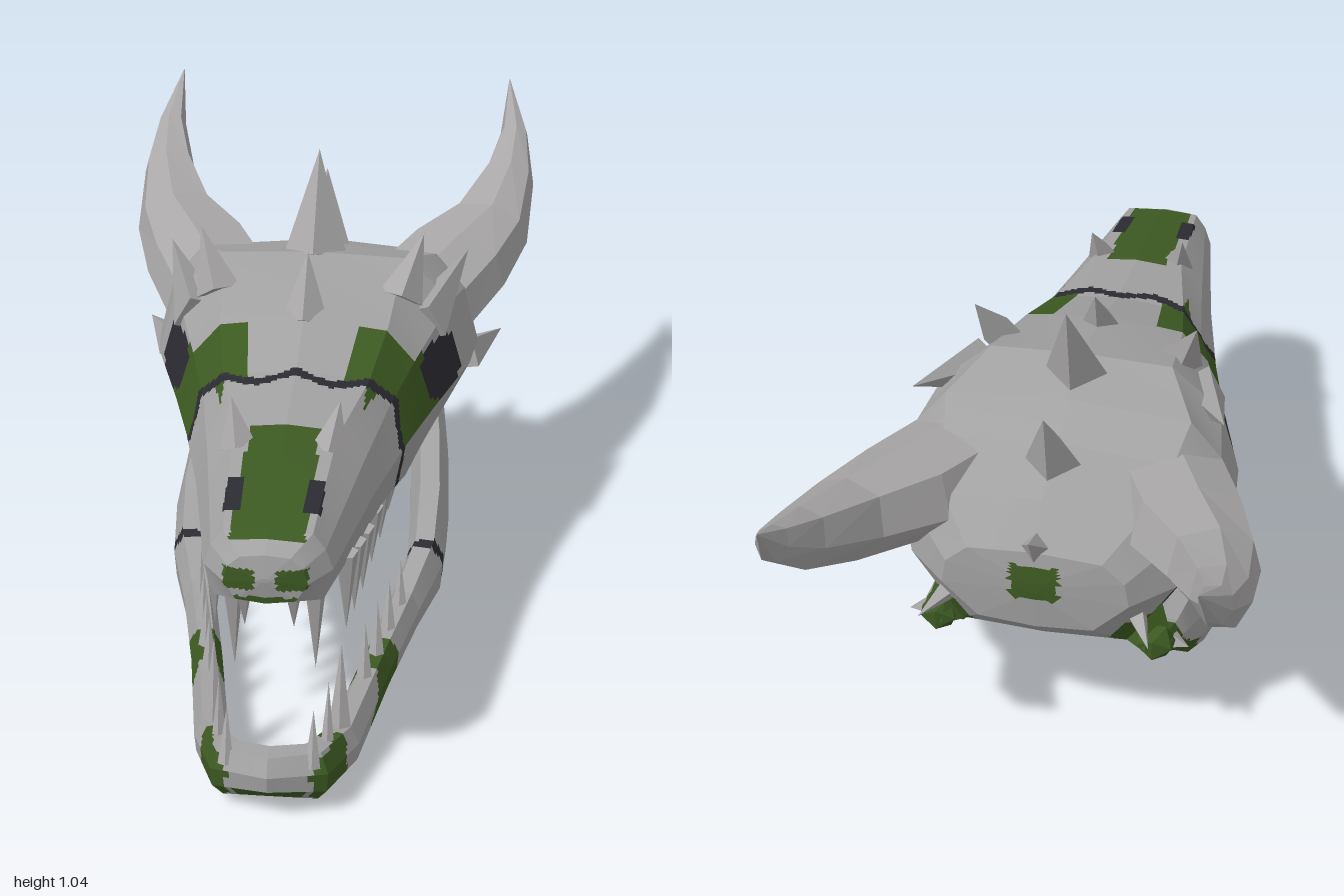
import * as THREE from 'three';

const mat = (name, color) => {
  const m = new THREE.MeshStandardMaterial({ color });
  m.name = name;
  return m;
};
const V = (x, y, z) => new THREE.Vector3(x, y, z);

// Closed loft through rings of equal length; every cell is coloured by a rule
function loft(name, rings, mats, rule = () => 0, nu = 1, step = 9) {
  const fine = ring => ring.flatMap((p, j) => {
    const q = ring[(j + 1) % ring.length];
    return Array.from({ length: nu }, (_, k) => p.clone().lerp(q, k / nu));
  });
  const rows = [];
  rings.forEach((ring, i) => {
    const a = fine(ring);
    if (i === rings.length - 1) return rows.push(a);
    const b = fine(rings[i + 1]);
    const n = Math.max(1, Math.ceil(ring[0].distanceTo(rings[i + 1][0]) / step));
    for (let k = 0; k < n; k++) rows.push(a.map((p, j) => p.clone().lerp(b[j], k / n)));
  });
  const buckets = mats.map(() => []);
  const cell = (a, b, c, d) => {
    const m = a.clone().add(b).add(c).add(d).divideScalar(4);
    const n = c.clone().sub(a).cross(d.clone().sub(b)).normalize();
    const out = buckets[rule(m.x, m.y, m.z, n)];
    for (const p of [a, b, d, b, c, d]) out.push(p.x, p.y, p.z);
  };
  const count = rows[0].length;
  const mid = row => row.reduce((s, p) => s.add(p), V(0, 0, 0)).divideScalar(count);
  const first = rows[0], last = rows[rows.length - 1];
  const c0 = mid(first), c1 = mid(last);
  for (let j = 0; j < count; j++) {
    const k = (j + 1) % count;
    for (let i = 0; i < rows.length - 1; i++) cell(rows[i][j], rows[i][k], rows[i + 1][k], rows[i + 1][j]);
    cell(c0, first[k], first[j], c0);
    cell(c1, last[j], last[k], c1);
  }
  const g = new THREE.BufferGeometry();
  g.setAttribute('position', new THREE.Float32BufferAttribute(buckets.flat(), 3));
  let start = 0;
  buckets.forEach((b, i) => { g.addGroup(start, b.length / 3, i); start += b.length / 3; });
  g.computeVertexNormals();
  const mesh = new THREE.Mesh(g, mats);
  mesh.name = name;
  return mesh;
}

// Rings of a profile swept along stations [x, y, z, halfWidth, halfHeight]
function sweep(stations, profile, upright) {
  const pts = stations.map(s => V(s[0], s[1], s[2]));
  return stations.map((s, i) => {
    const t = pts[Math.min(i + 1, pts.length - 1)].clone().sub(pts[Math.max(i - 1, 0)]).normalize();
    const n = t.clone().cross(V(0, 1, 0)).normalize();
    const up = upright ? V(0, 1, 0) : n.clone().cross(t);
    return profile.map(([u, v]) => pts[i].clone().addScaledVector(n, u * s[3]).addScaledVector(up, v * s[4]));
  });
}

// Low-poly cone from a base point to a tip
function spike(name, base, tip, r, material, sides = 4) {
  const a = V(...base), d = V(...tip).sub(a);
  const g = new THREE.ConeGeometry(r, d.length(), sides).toNonIndexed();
  g.computeVertexNormals();
  const m = new THREE.Mesh(g, material);
  m.name = name;
  m.position.copy(a).addScaledVector(d, 0.5);
  m.quaternion.setFromUnitVectors(V(0, 1, 0), d.normalize());
  return m;
}

// Skull paint: dark sockets and crack, mossy patches
function skullPaint(x, y, z, n) {
  const a = Math.abs(x);
  // Muzzle tip and back of the head
  if (z > 0.97) return (a > 0.022 && a < 0.085 && y > 0.565 && y < 0.612) || (a < 0.06 && y < 0.548) ? 1 : 0;
  if (z < -0.5 && y > 0.44) return a < 0.055 && y > 0.51 && y < 0.6 ? 1 : 0;
  // Palate
  if (n.y < -0.75) {
    if (Math.abs(z - 0.255) < 0.01) return 2;
    return (z < 0.245 && z > -0.1 && a < 0.23) || (z > 0.9 && a < 0.06) ? 1 : 0;
  }
  // Eye sockets, temple slots, nostrils
  const dz = Math.abs(z - 0.082), dy = Math.abs(y - 0.637);
  if (a > 0.2 && dz < 0.098 && dy < 0.061 && dz * 0.5 + dy < 0.086) return 2;
  if (a > 0.2 && z < -0.3 && z > -0.35 && y > 0.385 && y < 0.45) return 2;
  if (a > 0.065 && a < 0.1 && z > 0.76 && z < 0.87 && y > 0.66) return 2;
  // Zigzag crack
  let crack;
  if (y > 0.715) crack = a < 0.08 ? 0.365 + a * 0.45 : 0.401 - (a - 0.08) * 0.45;
  else if (y > 0.66) crack = 0.33 + (y - 0.66) * 0.6;
  else if (y > 0.585) crack = 0.39 - (y - 0.585) * 0.8;
  else crack = 0.39 - (0.585 - y) * 0.7;
  if (Math.abs(z - crack) < 0.014) return 2;
  // Moss
  if (z < crack && z > 0.195 && y > 0.7 && a > 0.1 + (crack - z) * 0.12) return 1;
  if (z < crack && z > 0.1 && y > 0.575 && y <= 0.7 && a > 0.18) return 1;
  if (z > crack && z < 0.46 && a > 0.155 && y > 0.7) return 1;
  if (z > 0.58 && z < 0.95 && a < 0.075 && y > 0.65) return 1;
  return z < -0.33 && z > -0.49 && y < 0.44 && a > 0.16 ? 1 : 0;
}

// Jaw paint: slanted crack, bands of moss and a mossy underside
function jawPaint(x, y, z, n) {
  const a = Math.abs(x), crack = 0.03 + y * 0.42;
  if (Math.abs(z - crack) < 0.013) return 2;
  if (z < -0.36) return 1;
  if (z < crack) return z < -0.04 && (n.y < -0.45 || y < 0.06 - (z + 0.08) * 0.9) ? 1 : 0;
  if (n.y < -0.6) return 1;
  if (z < 0.9 && n.x * x < 0 && y < 0.07) return 1;
  if (z > 0.84) return a > 0.088 && a < 0.155 && y < 0.14 ? 1 : 0;
  return z > 0.44 && z < 0.56 + (0.12 - y) * 1.7 ? 1 : 0;
}

export function createModel() {
  const bone = mat('bone', 0xa3a2a3), moss = mat('moss', 0x3d5a22), dark = mat('dark hollow', 0x2b2b32);
  const tooth = mat('tooth and horn', 0xa9a7a7);
  const paint = [bone, moss, dark];
  const root = new THREE.Group();
  root.name = 'hornedSkull';

  // Skull: z, top y, then top corner, brow, cheek, lip (x, y), palate y
  const skull = [
    [0.995, 0.595, 0.005, 0.595, 0.01, 0.592, 0.01, 0.588, 0.005, 0.585, 0.585],
    [0.985, 0.642, 0.05, 0.637, 0.075, 0.615, 0.085, 0.58, 0.06, 0.54, 0.532],
    [0.93, 0.67, 0.09, 0.665, 0.115, 0.63, 0.13, 0.585, 0.11, 0.515, 0.52],
    [0.6, 0.72, 0.11, 0.71, 0.165, 0.65, 0.19, 0.58, 0.165, 0.475, 0.485],
    [0.36, 0.745, 0.16, 0.725, 0.205, 0.665, 0.245, 0.575, 0.205, 0.445, 0.45],
    [0.18, 0.8, 0.19, 0.775, 0.255, 0.7, 0.295, 0.575, 0.235, 0.4, 0.4],
    [-0.06, 0.848, 0.21, 0.84, 0.325, 0.74, 0.37, 0.58, 0.26, 0.355, 0.35],
    [-0.2, 0.815, 0.28, 0.795, 0.35, 0.71, 0.385, 0.575, 0.24, 0.32, 0.32],
    [-0.3, 0.765, 0.26, 0.745, 0.34, 0.67, 0.365, 0.56, 0.22, 0.31, 0.31],
    [-0.45, 0.72, 0.22, 0.7, 0.28, 0.63, 0.3, 0.53, 0.19, 0.36, 0.35],
    [-0.53, 0.635, 0.15, 0.625, 0.2, 0.58, 0.21, 0.52, 0.13, 0.44, 0.43],
    [-0.54, 0.555, 0.008, 0.555, 0.015, 0.55, 0.015, 0.54, 0.008, 0.53, 0.53],
  ].map(([z, t, ax, ay, bx, by, cx, cy, dx, dy, e]) => {
    const side = [[ax, ay], [bx, by], [cx, cy], [dx, dy]];
    return [V(0, t, z), ...side.map(p => V(p[0], p[1], z)), V(0, e, z),
      ...side.reverse().map(p => V(-p[0], p[1], z))];
  });
  root.add(loft('skull', skull, paint, skullPaint, 12, 0.008));

  // Lower jaw: one bow from hinge to chin to hinge
  const half = [
    [0, 0.105, 0.955, 0.045, 0.05], [0.09, 0.09, 0.925, 0.045, 0.06], [0.14, 0.07, 0.8, 0.038, 0.055],
    [0.19, 0.063, 0.5, 0.036, 0.053], [0.24, 0.068, 0.25, 0.038, 0.06], [0.28, 0.09, 0.09, 0.044, 0.088],
    [0.285, 0.145, -0.02, 0.047, 0.12], [0.275, 0.228, -0.2, 0.047, 0.094],
    [0.265, 0.3, -0.34, 0.04, 0.045], [0.26, 0.345, -0.43, 0.03, 0.03],
  ];
  const bow = [...half.slice(1).reverse().map(([x, ...r]) => [-x, ...r]), ...half];
  const jawProfile = [[-0.5, 1], [0.5, 1], [1, 0.3], [0.9, -0.45], [0.3, -1], [-0.3, -1], [-0.95, -0.2], [-0.95, 0.4]];
  root.add(loft('lowerJaw', sweep(bow, jawProfile, true), paint, jawPaint, 5, 0.009));

  // Spikes along the midline
  [[0.77, 0.17, 0.91, 0.085, 0.055], [0.82, -0.1, 1.045, -0.21, 0.075],
    [0.74, -0.34, 0.915, -0.43, 0.065], [0.61, -0.48, 0.695, -0.58, 0.05],
  ].forEach(([y, z, ty, tz, r]) => root.add(spike('crestSpike', [0, y, z], [0, ty, tz], r, tooth)));

  // Horn section: u points outward from the head
  const hornProfile = [[-0.75, 0.85], [0.15, 1], [0.85, 0.6], [1, -0.15], [0.5, -0.95], [-0.4, -0.95], [-1, -0.1]];

  // Upper and lower teeth: x, base y, z, tip y, radius
  const upper = [[0.05, 0.54, 0.94, 0.44, 0.02], [0.085, 0.54, 0.84, 0.28, 0.03]];
  [0.73, 0.655, 0.57, 0.45, 0.345, 0.24].forEach((z, i) =>
    upper.push([0.14 + i * 0.0115, 0.51 - i * 0.016, z, i < 5 ? 0.31 : 0.325, 0.027]));
  const lower = [[0.09, 0.12, 0.95, 0.24, 0.018], [0.115, 0.1, 0.88, 0.265, 0.018], [0.135, 0.1, 0.8, 0.31, 0.028]];
  for (let i = 0; i < 4; i++) lower.push([0.172 + i * 0.02, 0.09, 0.6 - i * 0.1, 0.24 - i * 0.004, 0.022]);

  for (const s of [1, -1]) {
    // Great horns, curving back, out and up
    const horn = [[0.24, 0.64, -0.24, 0.14, 0.11], [0.32, 0.665, -0.42, 0.135, 0.105], [0.4, 0.7, -0.58, 0.1, 0.09],
      [0.443, 0.775, -0.76, 0.064, 0.066], [0.452, 0.855, -0.885, 0.035, 0.038], [0.435, 0.965, -1, 0.001, 0.001]]
      .map(([x, ...r]) => [s * x, ...r]);
    const section = s > 0 ? hornProfile : hornProfile.map(([u, v]) => [-u, v]).reverse();
    root.add(loft('horn', sweep(horn, section, false), [tooth]));

    // Paired spikes: brow ridge, crown, nose, cheek, nape and hinge
    const pair = (name, b, t, r, m = tooth) =>
      root.add(spike(name, [s * b[0], b[1], b[2]], [s * t[0], t[1], t[2]], r, m));
    pair('browRidge', [0.26, 0.72, 0.04], [0.355, 0.805, -0.21], 0.06, bone);
    pair('crownSpike', [0.21, 0.79, 0.055], [0.257, 0.92, -0.02], 0.052);
    pair('noseSpike', [0.095, 0.69, 0.63], [0.115, 0.785, 0.58], 0.04);
    pair('cheekSpike', [0.35, 0.535, -0.2], [0.44, 0.525, -0.38], 0.05);
    pair('napeSpike', [0.2, 0.45, -0.43], [0.26, 0.435, -0.56], 0.035);
    pair('hingeSpike', [0.265, 0.335, -0.39], [0.325, 0.33, -0.41], 0.035);

    // Hinge knuckle and the strut joining it to the skull
    const knob = new THREE.Mesh(new THREE.IcosahedronGeometry(0.048, 0), moss);
    knob.name = 'hingeKnuckle';
    knob.position.set(s * 0.25, 0.345, -0.42);
    root.add(knob);
    pair('hingeStrut', [0.235, 0.33, -0.41], [0.23, 0.52, -0.37], 0.055, moss);

    upper.forEach(([x, y, z, ty, r]) =>
      root.add(spike('upperTooth', [s * x, y, z], [s * x, ty, z - 0.02], r, tooth, 5)));
    lower.forEach(([x, y, z, ty, r]) =>
      root.add(spike('lowerTooth', [s * x, y, z], [s * x, ty, z - 0.03], r, tooth, 5)));
  }
  return root;
}
